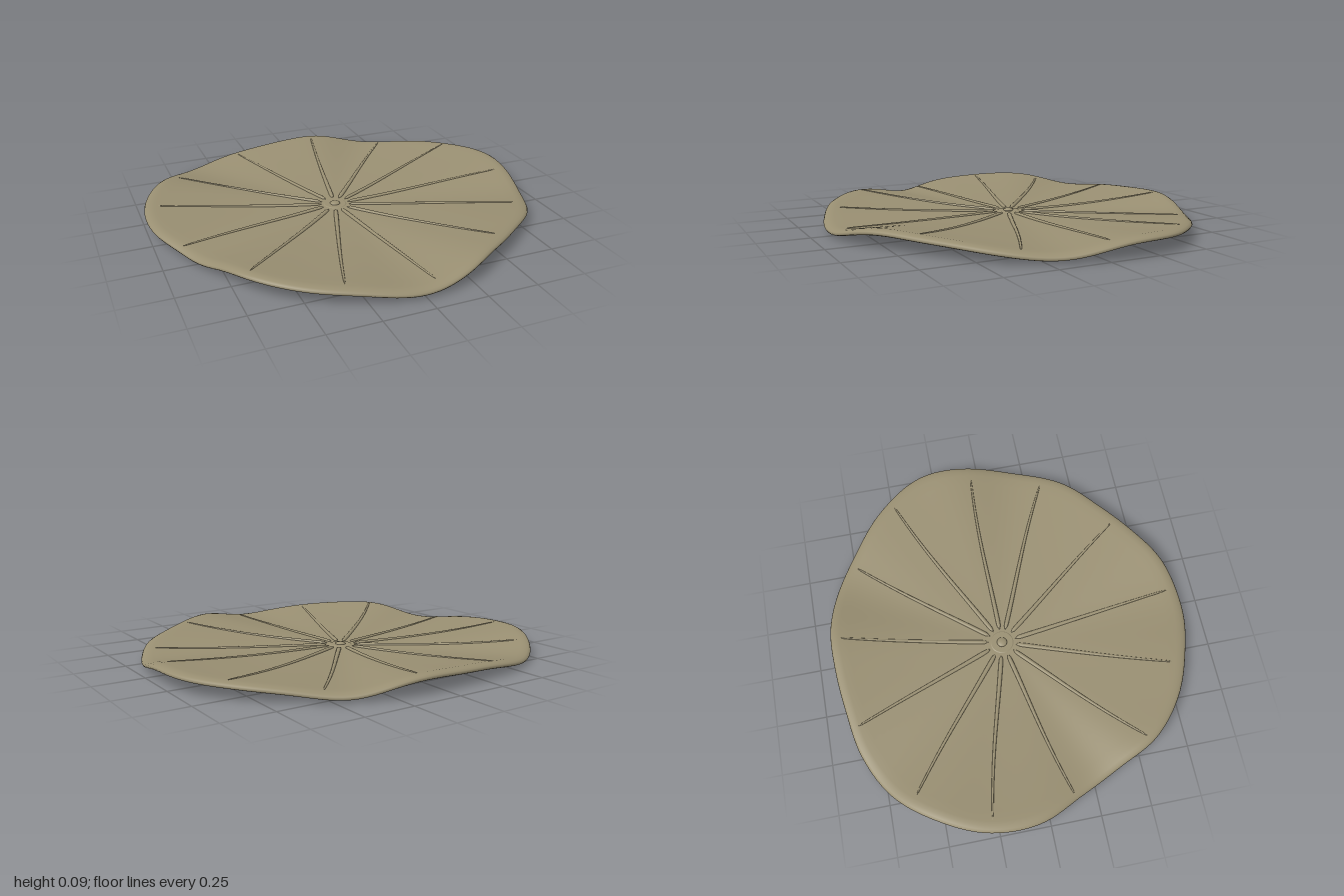
import * as THREE from 'three';

const HUB_X = -0.04, HUB_Z = -0.055, SEG = 180;

// rim radius every 15 degrees, turning from +x towards +z
const RADII = [1.035, 1.01, 0.99, 0.945, 0.94, 0.97, 0.97, 0.945, 0.938, 0.92, 0.875, 0.883,
  0.947, 0.973, 0.965, 0.955, 0.915, 0.867, 0.861, 0.888, 0.915, 0.94, 1.0, 1.053];

// angle (degrees) and length of each vein
const VEINS = [[-78.5, 0.83], [-50.7, 0.88], [-26.4, 0.97], [0.7, 0.96], [24, 0.94], [52.7, 0.89], [83, 0.915],
  [109, 0.88], [136.5, 0.88], [166.9, 0.865], [193.8, 0.91], [218.5, 0.895], [248.7, 0.845]];

function rimRadius(a) {
  const n = RADII.length, f = (((a / (Math.PI * 2)) % 1 + 1) % 1) * n;
  const i = Math.floor(f), k = f - i;
  const [p, q, r, s] = [-1, 0, 1, 2].map(o => RADII[(i + o + n) % n]);
  return q + 0.5 * k * (r - p + k * (2 * p - 5 * q + 4 * r - s + k * (3 * (q - r) + s - p)));
}

// dished surface whose edge rises and falls in five lopsided waves
function topHeight(a, t) {
  const phase = 5 * a + 0.85;
  return 0.03 + t * t * (0.04 + 0.027 * Math.cos(phase + 0.55 * (1 - Math.cos(phase))));
}

function surfacePoint(a, t, lift = 0) {
  const r = rimRadius(a) * t;
  return [HUB_X + r * Math.cos(a), topHeight(a, t) + lift, HUB_Z + r * Math.sin(a)];
}

// connects rows of points, each row having the same number of points
function gridGeometry(rows, closed) {
  const count = rows[0].length, index = [];
  for (let i = 0; i < rows.length - 1; i++) {
    for (let j = 0; j < (closed ? count : count - 1); j++) {
      const k = (j + 1) % count;
      const a = i * count + j, b = a + count, c = (i + 1) * count + k, d = i * count + k;
      index.push(a, c, b, a, d, c);
    }
  }
  const geo = new THREE.BufferGeometry();
  geo.setAttribute('position', new THREE.Float32BufferAttribute(rows.flat(2), 3));
  geo.setIndex(index);
  geo.computeVertexNormals();
  return geo;
}

function ring(t, drop) {
  return Array.from({ length: SEG }, (_, j) => surfacePoint(j / SEG * Math.PI * 2, t, -drop));
}

// upper skin with its rounded rim
function topGeometry() {
  const rows = [];
  for (let i = 0; i <= 20; i++) rows.push(ring(0.001 + 0.944 * i / 20, 0));
  for (const [t, drop] of [[0.967, 0.003], [0.985, 0.008], [0.996, 0.015], [1, 0.023], [0.996, 0.029], [0.985, 0.032]]) {
    rows.push(ring(t, drop));
  }
  return gridGeometry(rows, true);
}

// shallow cone below, its normals leaning outwards to blend into the rim
function undersideGeometry() {
  const rows = [], normals = [], edge = ring(0.985, 0.032);
  for (const t of [1, 0.75, 0.5, 0.25, 0.001]) {
    rows.push(edge.map(p => [HUB_X + (p[0] - HUB_X) * t, p[1] * t, HUB_Z + (p[2] - HUB_Z) * t]));
    for (let j = 0; j < SEG; j++) {
      const a = j / SEG * Math.PI * 2;
      const n = new THREE.Vector3(Math.cos(a) * 0.7 * t, -1 + 0.3 * t, Math.sin(a) * 0.7 * t).normalize();
      normals.push(n.x, n.y, n.z);
    }
  }
  const geo = gridGeometry(rows, true);
  geo.setAttribute('normal', new THREE.Float32BufferAttribute(normals, 3));
  return geo;
}

// tapering rounded ridge, half sunk into the surface and closing at both ends
function veinGeometry(angle, length) {
  const rows = [], steps = 40, sides = 8;
  for (let i = 0; i <= steps; i++) {
    const k = i / steps;
    const d = 0.07 + (length - 0.07) * k;
    const a = angle - Math.cos(angle) * 0.02 * Math.sin(k * Math.PI);
    const radius = (0.012 - 0.0075 * k) * Math.sqrt(1.0001 - Math.pow(2 * k - 1, 20));
    rows.push(Array.from({ length: sides + 1 }, (_, j) => {
      const turn = -0.5 + (Math.PI + 1) * j / sides;
      const b = a - Math.cos(turn) * radius / d;
      return surfacePoint(b, d / rimRadius(b), Math.sin(turn) * radius * 0.8);
    }));
  }
  return gridGeometry(rows, false);
}

export function createModel() {
  const model = new THREE.Group();
  model.name = 'leafPad';
  const leaf = new THREE.MeshStandardMaterial({ color: 0x998f72 });
  leaf.name = 'dull olive';

  const add = (name, geo, parent = model) => {
    const mesh = new THREE.Mesh(geo, leaf);
    mesh.name = name;
    parent.add(mesh);
    return mesh;
  };

  add('leafTop', topGeometry());
  add('leafUnderside', undersideGeometry());

  // raised veins
  const veins = new THREE.Group();
  veins.name = 'veins';
  model.add(veins);
  for (const [deg, length] of VEINS) add('vein', veinGeometry(THREE.MathUtils.degToRad(deg), length), veins);

  // central boss
  const hub = new THREE.Group();
  hub.name = 'hub';
  hub.position.set(HUB_X, 0.03, HUB_Z);
  model.add(hub);
  add('hubPad', new THREE.CylinderGeometry(0.055, 0.062, 0.004, 40), hub).position.y = 0.001;
  const button = add('hubButton', new THREE.SphereGeometry(0.026, 28, 16), hub);
  button.scale.y = 0.4;
  button.position.y = 0.003;

  return model;
}
